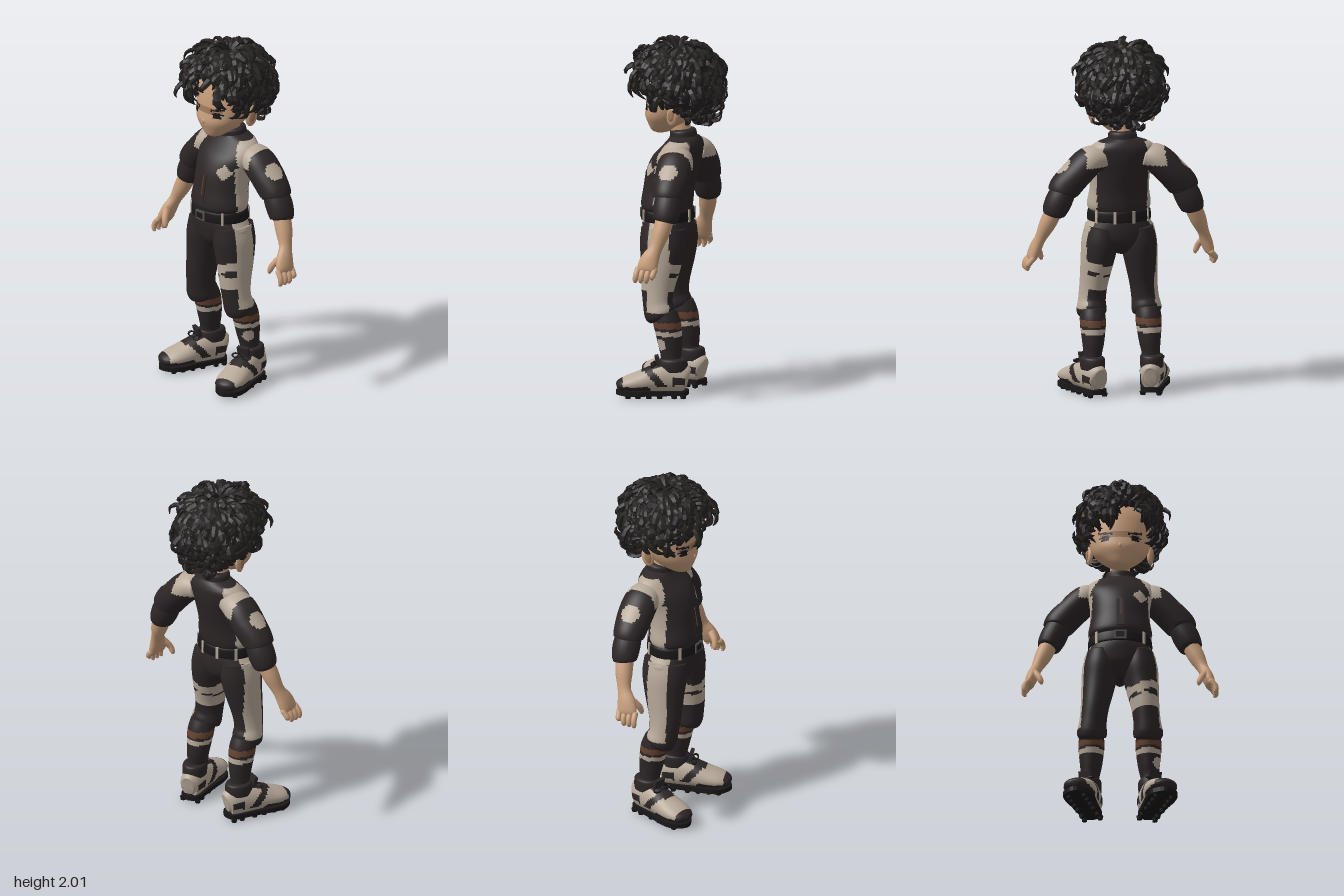
import * as THREE from 'three';
import { mergeGeometries } from 'three/addons/utils/BufferGeometryUtils.js';

const V = (x, y, z) => new THREE.Vector3(x, y, z);
const UP = V(0, 1, 0);
const mat = (name, color, extra = {}) => {
  const m = new THREE.MeshStandardMaterial({ color, ...extra });
  m.name = name;
  return m;
};

// Sweeps ellipses [x, y, z, radiusAcross, radiusAlongRef] along a smooth path.
// axis keeps all rings parallel; paint(point) returns a material index for each face.
function loft(rings, { segs = 24, steps = 6, ref = V(0, 0, 1), axis, paint, floor = -1 } = {}) {
  const path = new THREE.CatmullRomCurve3(rings.map(r => V(r[0], r[1], r[2])), false, 'catmullrom');
  const size = new THREE.CatmullRomCurve3(rings.map(r => V(r[3], r[4], 0)), false, 'catmullrom');
  const rows = (rings.length - 1) * steps, pos = [];
  const add = p => pos.push(p.x, Math.max(p.y, floor), p.z);
  for (let i = 0; i <= rows; i++) {
    const u = i / rows, c = path.getPoint(u), r = size.getPoint(u);
    const t = axis || path.getPoint(Math.min(1, u + 0.01)).sub(path.getPoint(Math.max(0, u - 0.01))).normalize();
    const n = ref.clone().addScaledVector(t, -ref.dot(t)).normalize();
    const b = n.clone().cross(t);
    for (let j = 0; j < segs; j++) {
      const a = j / segs * Math.PI * 2;
      add(c.clone().addScaledVector(b, Math.cos(a) * r.x).addScaledVector(n, Math.sin(a) * r.y));
    }
  }
  add(path.getPoint(0));
  add(path.getPoint(1));
  const buckets = [], c0 = (rows + 1) * segs;
  const face = (...ids) => {
    const p = V(0, 0, 0);
    ids.forEach(k => p.add(V(pos[k * 3], pos[k * 3 + 1], pos[k * 3 + 2])));
    const m = paint ? paint(p.divideScalar(ids.length)) : 0;
    const list = buckets[m] ||= [];
    list.push(ids[0], ids[1], ids[2]);
    if (ids.length > 3) list.push(ids[1], ids[3], ids[2]);
  };
  for (let j = 0; j < segs; j++) {
    const k = (j + 1) % segs;
    face(c0, k, j);
    for (let i = 0; i < rows; i++) face(i * segs + j, i * segs + k, (i + 1) * segs + j, (i + 1) * segs + k);
    face(c0 + 1, rows * segs + j, rows * segs + k);
  }
  const g = new THREE.BufferGeometry(), index = [];
  g.setAttribute('position', new THREE.Float32BufferAttribute(pos, 3));
  buckets.forEach((list, m) => {
    if (paint) g.addGroup(index.length, list.length, m);
    for (const v of list) index.push(v);
  });
  g.setIndex(index);
  g.computeVertexNormals();
  return g;
}

export function createModel() {
  const model = new THREE.Group();
  const cloth = mat('dark cloth', 0x2d2627), cream = mat('cream', 0xb8aa9a), skin = mat('skin', 0xc99f7d);
  const shade = mat('dark skin', 0xa27a5e), brown = mat('brown', 0x664230), black = mat('black', 0x1a1718);
  const hairMat = mat('hair', 0x242020, { flatShading: true, side: THREE.DoubleSide }), metal = mat('buckle grey', 0x55504e);
  const put = (name, g, m, parent = model) => {
    const mesh = new THREE.Mesh(g, m);
    mesh.name = name;
    parent.add(mesh);
    return mesh;
  };
  const box = (name, m, w, h, d, x, y, z, parent) => {
    const b = put(name, new THREE.BoxGeometry(w, h, d), m, parent);
    b.position.set(x, y, z);
    return b;
  };

  // Jersey with cream shoulder and side panels and a chest patch
  put('jersey', loft([[0, 1.02, .05, .155, .125], [0, 1.06, .055, .178, .14], [0, 1.15, .043, .166, .14],
    [0, 1.25, .022, .168, .143], [0, 1.33, -.005, .185, .133], [0, 1.39, -.035, .185, .108],
    [0, 1.425, -.045, .15, .088], [0, 1.45, -.045, .08, .072]], {
    segs: 84, steps: 9, axis: UP, paint: p => {
      const x = Math.abs(p.x);
      if (p.z > 0 && Math.abs(p.x - .11) / .04 + Math.abs(p.y - 1.27) / .048 < 1) return 1;
      if (p.y > 1.27 && p.y < 1.432 && x > .115 + (1.42 - p.y) * .45) return 1;
      return x > .142 && p.z > -.06 && p.z < .08 && p.y < 1.3 ? 1 : 0;
    } }), [cloth, cream]);
  put('collar', loft([[0, 1.41, -.04, .09, .085], [0, 1.44, -.04, .082, .076], [0, 1.475, -.038, .078, .072],
    [0, 1.487, -.037, .06, .055]]), cloth);
  put('neck', loft([[0, 1.44, -.035, .055, .055], [0, 1.54, -.01, .055, .06]]), skin);
  box('placket', cloth, .04, .17, .008, 0, 1.15, .181).rotation.x = -.15;
  box('placketTrim', brown, .006, .11, .008, .003, 1.185, .179).rotation.x = -.17;

  // Belt with loops and buckle
  put('belt', loft([[0, .975, .05, .165, .135], [0, .98, .05, .178, .146], [0, 1.03, .05, .174, .143],
    [0, 1.035, .05, .155, .13]], { segs: 48 }), black);
  for (const a of [.75, 2.39, 3.75, 5.67, 4.4, 5.02]) {
    const l = box('beltLoop', cream, .016, .07, .008, Math.cos(a) * .178, 1.005, .05 + Math.sin(a) * .147);
    l.rotation.y = Math.PI / 2 - a;
  }
  box('buckle', metal, .07, .052, .008, 0, 1.005, .197);
  box('buckleCentre', black, .048, .032, .009, 0, 1.005, .199);

  // Trousers
  put('hips', loft([[0, .79, .045, .03, .075], [0, .85, .043, .14, .122], [0, .91, .045, .198, .136],
    [0, .97, .05, .174, .138], [0, 1.01, .05, .15, .125]], {
    segs: 60, axis: UP, paint: p => Math.abs(p.x) > .15 && p.z > -.02 && p.z < .1 && p.y > .87 ? 1 : 0 }), [cloth, cream]);
  for (const s of [1, -1]) {
    const bandage = p => s > 0 && (Math.abs(p.y - .715 - .3 * (p.x - .135)) < .024
      || Math.abs(p.y - .627 - .12 * (p.x - .135)) < .038 || Math.abs(p.y - .67 + .5 * (p.x - .135)) < .013);
    put('trouserLeg', loft([[s * .102, .94, .045, .088, .124], [s * .11, .85, .045, .1, .13], [s * .123, .75, .05, .092, .116],
      [s * .14, .62, .063, .078, .095], [s * .15, .53, .062, .076, .083], [s * .155, .475, .05, .083, .086],
      [s * .157, .45, .04, .078, .08], [s * .157, .44, .035, .06, .06]], {
      segs: 64, steps: 11, paint: p => bandage(p) || (p.y > .48
        && Math.abs(p.x) > .155 + (.95 - p.y) * .085 && p.z > -.02 && p.z < .105) ? 1 : 0 }), [cloth, cream]);
    // Sock with two stripes
    put('sock', loft([[s * .157, .47, .025, .068, .072], [s * .158, .4, .002, .072, .076], [s * .16, .3, -.014, .061, .068],
      [s * .165, .22, -.02, .05, .056], [s * .165, .13, -.02, .05, .058]], {
      segs: 40, steps: 11, paint: p => {
        if (p.y > .39 && p.y < .426) return 2;
        if (p.y > .348 && p.y < .375) return 1;
        return s > 0 && p.distanceTo(V(.205, .3, .025)) < .034 ? 1 : 0;
      } }), [cloth, cream, brown]);

    // Shoe, turned outwards
    const shoe = new THREE.Group();
    shoe.name = 'shoe';
    shoe.position.set(s * .175, 0, -.01);
    shoe.rotation.y = s * .3;
    model.add(shoe);
    put('shoeUpper', loft([[0, .1, -.108, .03, .05], [0, .105, -.085, .058, .08], [0, .11, 0, .068, .09], [0, .105, .07, .075, .08],
      [0, .09, .15, .082, .062], [0, .08, .22, .078, .045], [0, .07, .27, .055, .03], [0, .065, .288, .02, .015]], {
      segs: 40, steps: 8, ref: UP, floor: .04, paint: p => {
        const x = Math.abs(p.x);
        if (p.z > .255 || (p.z > .1 && p.y < .07)) return 0;
        if (x < .04 && p.z > -.06 && p.z < .15) return 0;
        if (x > .035 && p.y > .07 && Math.abs(p.z - .06 - (p.y - .1) * .9) < .026) return 0;
        return p.z < -.02 && p.z > -.09 && p.y > .075 && p.y < .12 ? 0 : 1;
      } }), [cloth, cream], shoe);
    put('shoeCollar', loft([[0, .15, -.025, .064, .08], [0, .19, -.025, .066, .08], [0, .215, -.025, .062, .074],
      [0, .222, -.025, .045, .055]]), cloth, shoe);
    box('tongue', cloth, .07, .07, .02, 0, .2, .06, shoe).rotation.x = .25;
    for (let i = 0; i < 4; i++) {
      const lace = new THREE.CatmullRomCurve3([V(-.045, .165 - i * .012, .03 + i * .03), V(0, .2 - i * .014, .04 + i * .03),
        V(.045, .165 - i * .012, .03 + i * .03)]);
      put('lace', new THREE.TubeGeometry(lace, 8, .007, 6), black, shoe);
    }
    for (const k of [1, -1]) {
      const loop = put('laceLoop', new THREE.TorusGeometry(.025, .006, 6, 12), black, shoe);
      loop.position.set(k * .032, .185, .085);
      loop.rotation.x = -1;
      loop.scale.y = .6;
    }
    // Sole with studs
    const outline = new THREE.Shape(new THREE.SplineCurve([[0, -.112], [.052, -.088], [.063, 0], [.072, .09], [.082, .17], [.07, .245], [0, .292],
      [-.07, .245], [-.082, .17], [-.072, .09], [-.063, 0], [-.052, -.088], [0, -.112]]
      .map(p => new THREE.Vector2(p[0], -p[1]))).getPoints(48));
    const sole = put('sole', new THREE.ExtrudeGeometry(outline, { depth: .026, bevelEnabled: false }), black, shoe);
    sole.rotation.x = -Math.PI / 2;
    sole.position.y = .018;
    for (const z of [-.08, -.03, .05, .11, .17, .225]) for (const k of [1, -1]) {
      const stud = put('stud', new THREE.CylinderGeometry(.018, .014, .02, 8), black, shoe);
      stud.position.set(k * .045, .01, z);
    }

    // Sleeve with shoulder panel and patch
    put('sleeve', loft([[s * .11, 1.345, -.05, .065, .075], [s * .19, 1.325, -.055, .083, .098], [s * .265, 1.257, -.06, .085, .1],
      [s * .33, 1.185, -.06, .086, .09], [s * .342, 1.16, -.06, .078, .082], [s * .344, 1.155, -.06, .05, .05]], {
      segs: 48, steps: 10, paint: p => {
        const q = V(Math.abs(p.x), p.y, p.z);
        return (q.x < .225 && q.y > 1.3) || q.distanceTo(V(.33, 1.295, -.055)) < .052 ? 1 : 0;
      } }), [cloth, cream]);
    put('undersleeve', loft([[s * .325, 1.19, -.06, .066, .072], [s * .365, 1.11, -.062, .074, .078],
      [s * .392, 1.05, -.06, .066, .07], [s * .398, 1.032, -.058, .05, .052]]), cloth);

    // Forearm and hand
    put('forearm', loft([[s * .385, 1.07, -.06, .048, .052], [s * .425, .98, -.045, .046, .048], [s * .46, .9, -.025, .032, .038],
      [s * .483, .84, 0, .033, .052], [s * .5, .79, .014, .028, .057], [s * .507, .765, .018, .014, .045]]), skin);
    for (let i = 0; i < 4; i++) {
      const z = -.032 + i * .032, drop = i === 0 ? .02 : 0;
      put('finger', loft([[s * .498, .79, z, .016, .017], [s * .526, .755, z + .005, .016, .016],
        [s * .53, .725 + drop, z + .008, .014, .014], [s * .52, .712 + drop, z + .01, .006, .006]], { segs: 10, steps: 3 }), skin);
    }
    put('thumb', loft([[s * .475, .85, .025, .02, .024], [s * .452, .81, .06, .018, .018], [s * .438, .775, .07, .015, .015],
      [s * .434, .757, .07, .006, .006]], { segs: 10, steps: 4 }), skin);

    // Ear
    const ear = put('ear', new THREE.SphereGeometry(1, 16, 12), skin);
    ear.scale.set(.018, .06, .036);
    ear.position.set(s * .168, 1.59, -.03);
    ear.rotation.set(-.15, s * -.25, 0);
    const inner = put('innerEar', new THREE.SphereGeometry(1, 12, 8), shade);
    inner.scale.set(.007, .036, .02);
    inner.position.set(s * .182, 1.592, -.024);
    inner.rotation.copy(ear.rotation);
  }

  // Head with painted eyes, brows and a darker band across the nose bridge
  put('head', loft([[0, 1.458, .095, .02, .025], [0, 1.472, .085, .055, .058], [0, 1.51, .062, .1, .098], [0, 1.56, .038, .143, .137],
    [0, 1.62, .018, .166, .15], [0, 1.7, 0, .175, .163], [0, 1.78, -.01, .168, .158], [0, 1.86, -.01, .12, .12],
    [0, 1.89, -.01, .05, .05]], {
    segs: 96, steps: 10, axis: UP, paint: p => {
      const x = Math.abs(p.x), dx = x - .083, dy = p.y - 1.61;
      if (p.z < .06) return 0;
      if (Math.abs(dx) < .04 && Math.abs(p.y - 1.643 - dx * .2) < .006) return 1;
      if ((dx / .037) ** 2 + (dy / .015) ** 2 < 1) return dy > .005 || Math.abs(dx) < .02 ? 1 : 2;
      return x < .11 && p.y > 1.615 && p.y < 1.648 ? 3 : 0;
    } }), [skin, black, cream, shade]);
  const nose = put('nose', new THREE.SphereGeometry(1, 12, 8), skin);
  nose.scale.set(.011, .016, .01);
  nose.position.set(0, 1.562, .171);

  // Hair cap, pulled back from the face and longer at the nape
  const drop = y => 1.765 + y * (y < 0 ? .24 : .18);
  const cap = new THREE.SphereGeometry(1, 40, 28), cp = cap.attributes.position;
  for (let i = 0; i < cp.count; i++) {
    const y = drop(cp.getY(i)), z = cp.getZ(i) * .21 - .005;
    const limit = y < 1.67 ? -.075 : y < 1.81 ? .04 : 1;
    cp.setXYZ(i, cp.getX(i) * .192, y, Math.min(z, limit));
  }
  cap.computeVertexNormals();
  put('hairCap', cap, hairMat);

  // Curly locks flowing away from the crown
  let seed = 7;
  const rnd = () => (seed = (seed * 16807) % 2147483647) / 2147483647;
  const locks = [], count = 760, at = (p, w, r) => [p.x, p.y, p.z, w, r];
  for (let i = 0; i < count; i++) {
    const y = 1 - 1.93 * (i + .5) / count, a = i * 2.39996, h = Math.sqrt(1 - y * y);
    const n = V(Math.cos(a) * h, y, Math.sin(a) * h);
    const root = V(n.x * .187, drop(y), n.z * .205 - .005);
    const front = root.z > .09, gap = front && root.x > -.02 && root.x < .09;
    if (front && root.y < (gap ? 1.865 : 1.785)) continue;
    if (root.z > -.085 && root.y < 1.715) continue;
    const out = V(n.x, -.25, n.z + .08), wild = root.y < 1.75 ? .6 : 1.6;
    const flow = out.addScaledVector(n, -n.dot(out)).normalize()
      .add(V((rnd() - .5) * wild, rnd() * .5 - .25, (rnd() - .5) * wild)).addScaledVector(UP, n.y < .4 ? -.45 : 0).normalize();
    const side = flow.clone().cross(n).normalize();
    const len = (.08 + rnd() * .06) * (gap ? .7 : 1), curl = (rnd() - .5) * .065;
    const lift = .016 + rnd() * .024 + (front ? .014 : 0);
    const step = (f, up, sw) => root.clone().addScaledVector(flow, len * f).addScaledVector(n, up).addScaledVector(side, sw);
    const w = .014 + rnd() * .007;
    locks.push(loft([at(step(0, -.01, 0), w * .7, w * .7), at(step(.4, lift, curl * .5), w * .7, w * 1.2),
      at(step(.85, lift - .01, curl), w * .6, w), at(step(1.1, lift - .045, curl * .3), .002, .002)],
      { segs: 5, steps: 2, ref: side }));
  }
  put('hairLocks', mergeGeometries(locks), hairMat);
  return model;
}
